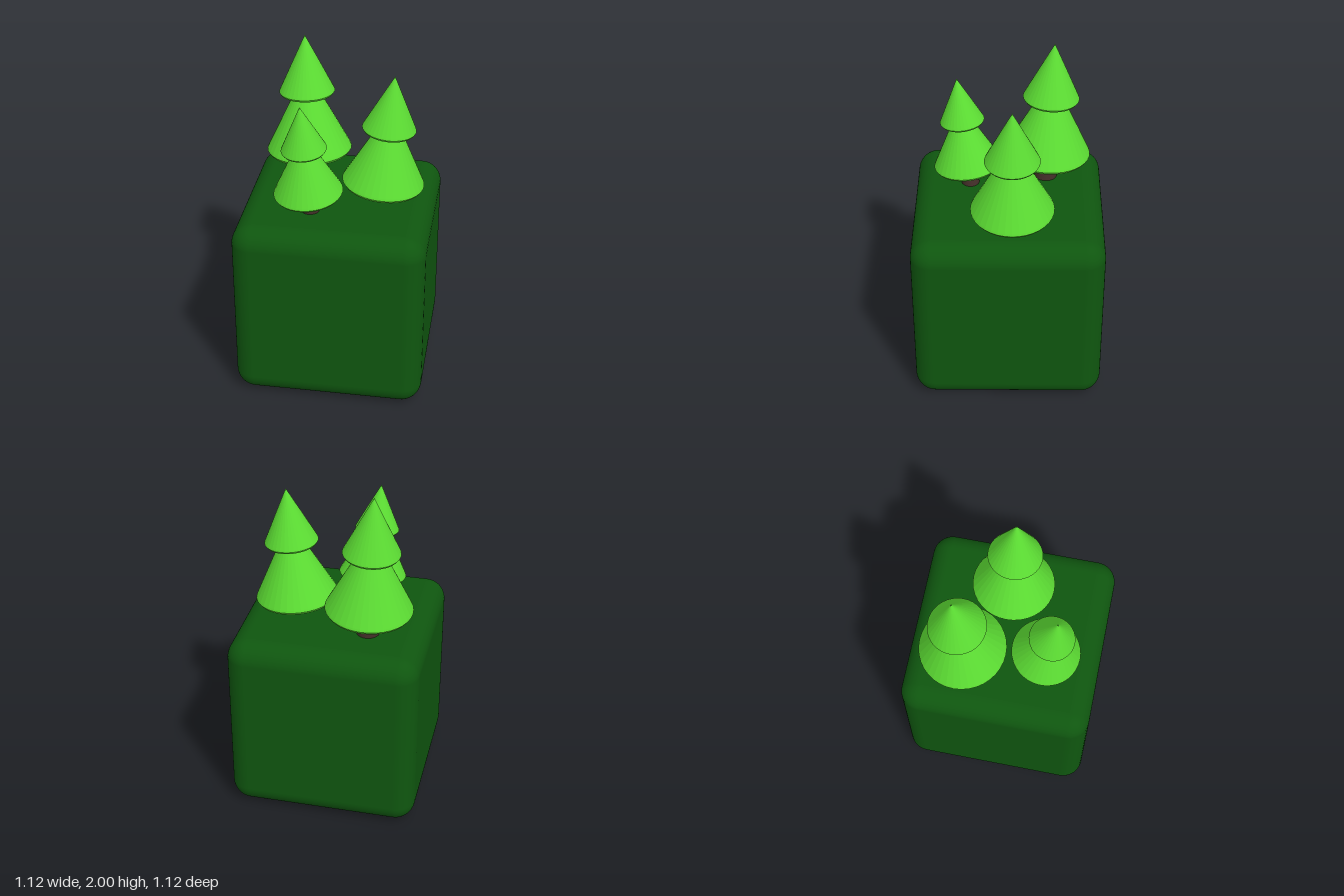
import * as THREE from 'three';
import { RoundedBoxGeometry } from 'three/addons/geometries/RoundedBoxGeometry.js';

const block = new THREE.MeshStandardMaterial({ color: 0x0f560f });
const leaf = new THREE.MeshStandardMaterial({ color: 0x5cdd33, flatShading: true });
const bark = new THREE.MeshStandardMaterial({ color: 0x45302a });

function add(parent, name, geometry, material, y) {
  const mesh = new THREE.Mesh(geometry, material);
  mesh.name = name;
  mesh.position.y = y;
  parent.add(mesh);
}

// Cone with a soft rounded lip; its widest ring sits at y = 0
function tierGeometry(radius, height, lip) {
  const points = [[0, -lip], [radius - lip * 1.5, -lip], [radius - lip * 0.5, -lip * 0.75],
    [radius, 0], [radius - lip * 0.25, lip * 0.6], [0, height]];
  return new THREE.LatheGeometry(points.map(([x, y]) => new THREE.Vector2(x, y)), 36);
}

// Two-tier tree hung from its tip, leaning along the line from foot to tip
function makeTree(name, s, tip, foot) {
  const tree = new THREE.Group();
  tree.name = name;
  const top = new THREE.Vector3(...tip);
  const axis = top.clone().sub(new THREE.Vector3(...foot)).normalize();
  tree.position.copy(top);
  tree.quaternion.setFromUnitVectors(new THREE.Vector3(0, 1, 0), axis);
  add(tree, 'upperFoliage', tierGeometry(0.165 * s, 0.345 * s, 0.018 * s), leaf, -0.345 * s);
  add(tree, 'lowerFoliage', tierGeometry(0.254 * s, 0.5 * s, 0.022 * s), leaf, -0.71 * s);
  add(tree, 'trunk', new THREE.CylinderGeometry(0.064 * s, 0.068 * s, 0.36 * s, 24), bark, -0.8 * s);
  return tree;
}

export function createModel() {
  const model = new THREE.Group();
  model.name = 'treeBlock';

  // Rounded cube base
  add(model, 'base', new RoundedBoxGeometry(1.12, 1.12, 1.12, 6, 0.12), block, 0.56);

  // Three leaning trees: scale, tip, centre of the lowest foliage ring
  model.add(makeTree('backTree', 1, [-0.25, 2, -0.262], [-0.223, 1.29, -0.23]));
  model.add(makeTree('leftTree', 0.955, [0.31, 1.885, -0.022], [0.253, 1.21, -0.024]));
  model.add(makeTree('frontTree', 0.79, [-0.18, 1.81, 0.3], [-0.147, 1.25, 0.243]));
  return model;
}
